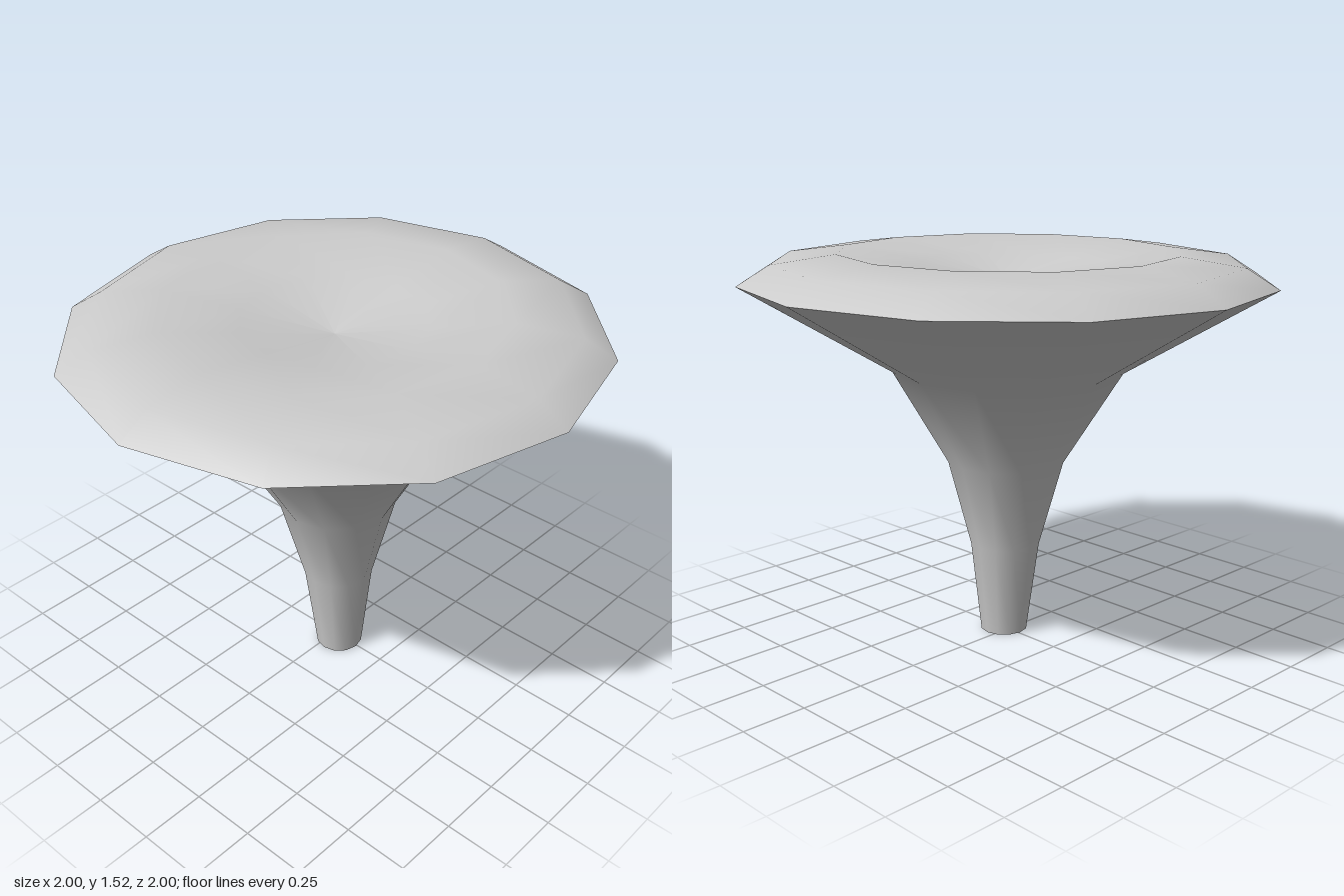
import * as THREE from 'three';

const SIDES = 12;

// Lathe a profile of [radius, height, xOffset, zOffset] rings, each ring slid off-centre and slightly tilted
function leaningLathe(name, rings, material) {
  const geometry = new THREE.LatheGeometry(rings.map(([r, y]) => new THREE.Vector2(r, y)), SIDES);
  const pos = geometry.attributes.position;
  for (let i = 0; i < pos.count; i++) {
    const [, y, dx = 0, dz = 0] = rings[i % rings.length];
    const z = pos.getZ(i);
    const tilt = y > 0 ? 0.008 * z : 0;
    pos.setXYZ(i, pos.getX(i) + dx, pos.getY(i) - tilt, z + dz);
  }
  const mesh = new THREE.Mesh(geometry, material);
  mesh.name = name;
  return mesh;
}

export function createModel() {
  const group = new THREE.Group();
  group.name = 'mushroom';
  const material = new THREE.MeshStandardMaterial({ color: 0xcccccc, side: THREE.DoubleSide });

  // Hollow stem, open at the foot, flaring into the underside of the cap
  group.add(leaningLathe('stem', [
    [0.092, 0, 0.032, 0.007],
    [0.137, 0.365, 0.025, 0.007],
    [0.228, 0.705, 0.017, 0.004],
    [0.444, 1.068, 0.005, 0.004],
    [1, 1.403],
  ], material));

  // Cap top: bevelled rim, low crown and a dished centre
  group.add(leaningLathe('cap', [
    [1, 1.403],
    [0.88, 1.477],
    [0.64, 1.51],
    [0.35, 1.46],
    [0, 1.4],
  ], material));

  return group;
}
